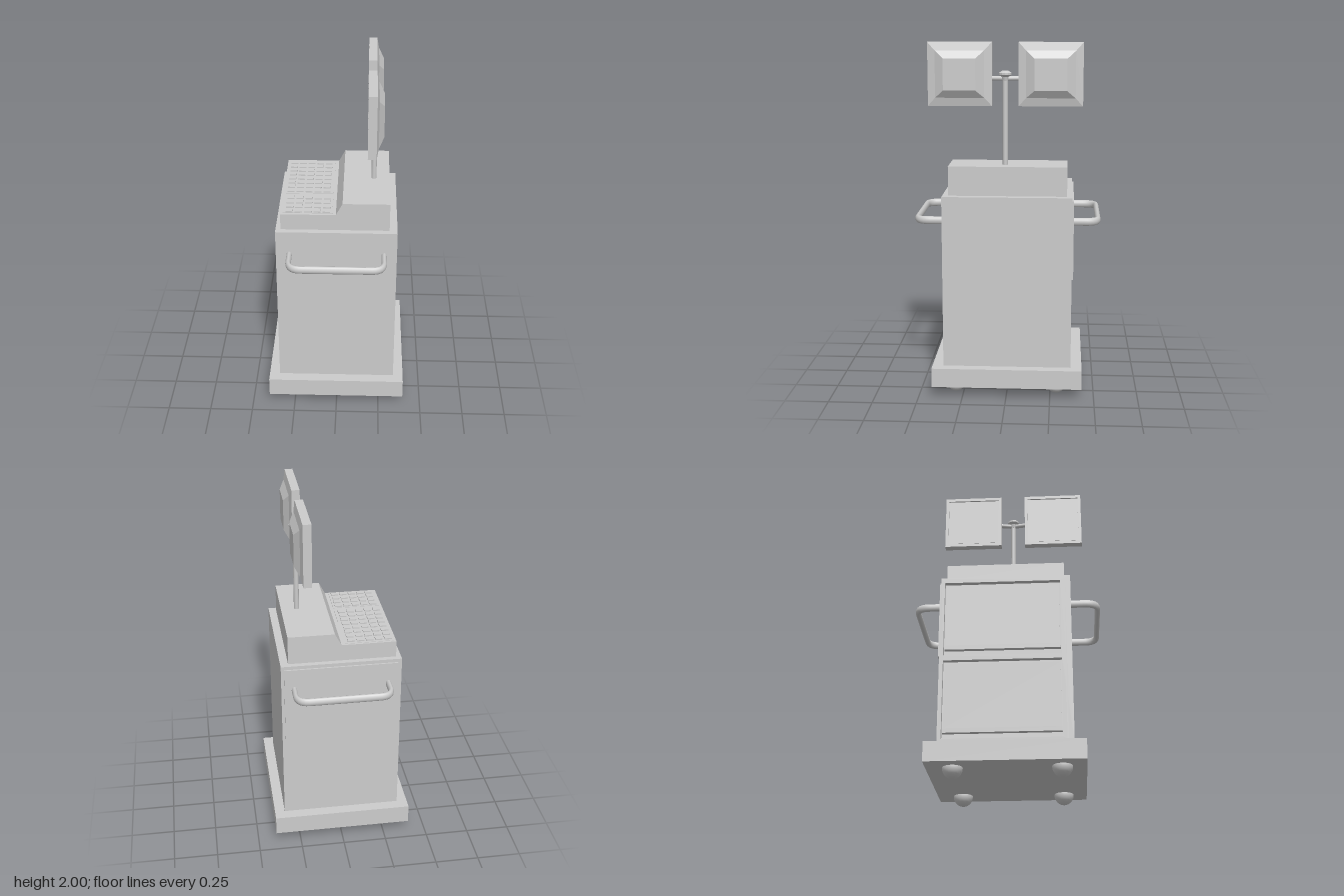
import * as THREE from 'three';

const mat = new THREE.MeshStandardMaterial({ color: 0xcccccc });
const flat = new THREE.MeshStandardMaterial({ color: 0xcccccc, flatShading: true });

function add(parent, name, geometry, x = 0, y = 0, z = 0, material = mat) {
  const mesh = new THREE.Mesh(geometry, material);
  mesh.name = name;
  mesh.position.set(x, y, z);
  parent.add(mesh);
  return mesh;
}

// Box given by its limits on each axis
function box(parent, name, x0, x1, y0, y1, z0, z1) {
  return add(parent, name, new THREE.BoxGeometry(x1 - x0, y1 - y0, z1 - z0),
    (x0 + x1) / 2, (y0 + y1) / 2, (z0 + z1) / 2);
}

function rod(parent, name, a, b, radius, sides = 12) {
  const dir = b.clone().sub(a);
  const mesh = add(parent, name, new THREE.CylinderGeometry(radius, radius, dir.length(), sides));
  mesh.position.copy(a).add(b).multiplyScalar(0.5);
  mesh.quaternion.setFromUnitVectors(new THREE.Vector3(0, 1, 0), dir.normalize());
  return mesh;
}

function rectangle(Type, a0, a1, b0, b1) {
  return new Type([[a0, b0], [a1, b0], [a1, b1], [a0, b1]].map(p => new THREE.Vector2(...p)));
}

// Stacked rectangular sections along x: [x, halfHeight, halfWidth], closed at both ends
function stackedRectangles(sections) {
  const pos = [], idx = [];
  for (const [x, h, w] of sections) pos.push(x, -h, -w, x, h, -w, x, h, w, x, -h, w);
  const last = (sections.length - 1) * 4;
  for (let s = 0; s < last; s += 4) {
    for (let i = 0; i < 4; i++) {
      const j = (i + 1) % 4;
      idx.push(s + i, s + j, s + 4 + j, s + i, s + 4 + j, s + 4 + i);
    }
  }
  idx.push(0, 2, 1, 0, 3, 2, last, last + 1, last + 2, last, last + 2, last + 3);
  // sides wind outward when the triangles are reversed as needed
  const g = new THREE.BufferGeometry();
  g.setAttribute('position', new THREE.Float32BufferAttribute(pos, 3));
  g.setIndex(idx);
  const out = g.toNonIndexed();
  out.computeVertexNormals();
  return out;
}

function buildCabinet(root) {
  const cabinet = new THREE.Group();
  cabinet.name = 'cabinet';
  root.add(cabinet);
  box(cabinet, 'basePlate', -0.4, 0.395, 0.06, 0.17, -0.43, 0.425);
  box(cabinet, 'body', -0.31, 0.337, 0.17, 1.155, -0.367, 0.362);
  box(cabinet, 'rearPanel', -0.318, 0.32, 0.685, 1.135, -0.376, -0.366);

  // Side frame around the two recessed drawers
  const frame = rectangle(THREE.Shape, -0.362, 0.367, 0.17, 1.155);
  frame.holes.push(rectangle(THREE.Path, -0.305, 0.345, 0.68, 1.125));
  frame.holes.push(rectangle(THREE.Path, -0.305, 0.345, 0.2, 0.65));
  const g = new THREE.ExtrudeGeometry(frame, { depth: 0.03, bevelEnabled: false });
  add(cabinet, 'drawerFrame', g, -0.34, 0, 0).rotation.y = Math.PI / 2;
  box(cabinet, 'frameGroove', -0.342, -0.338, 0.19, 1.135, 0.325, 0.333);
  for (const y of [0.2, 0.68]) {
    box(cabinet, 'drawerFront', -0.32, -0.3, y + 0.065, y + 0.435, -0.337, 0.297);
    box(cabinet, 'drawerRail', -0.337, -0.305, y + 0.035, y + 0.06, -0.34, 0.3);
  }

  // Ball casters
  for (const x of [-0.28, 0.28]) {
    for (const z of [-0.285, 0.295]) {
      add(cabinet, 'caster', new THREE.SphereGeometry(0.055, 20, 14), x, 0.055, z);
    }
  }

  // Push handles with an upright oval section
  for (const s of [-1, 1]) {
    const path = new THREE.CurvePath();
    const v = (x, z) => new THREE.Vector3(x, 0, s * z);
    path.add(new THREE.LineCurve3(v(-0.265, 0.35), v(-0.265, 0.45)));
    path.add(new THREE.QuadraticBezierCurve3(v(-0.265, 0.45), v(-0.26, 0.51), v(-0.2, 0.513)));
    path.add(new THREE.LineCurve3(v(-0.2, 0.513), v(0.2, 0.513)));
    path.add(new THREE.QuadraticBezierCurve3(v(0.2, 0.513), v(0.26, 0.51), v(0.265, 0.45)));
    path.add(new THREE.LineCurve3(v(0.265, 0.45), v(0.265, 0.35)));
    const handle = add(cabinet, 'handle', new THREE.TubeGeometry(path, 48, 0.0155, 12), 0, 1.008, 0);
    handle.scale.y = 1.45;
  }
}

function buildConsole(root) {
  const desk = new THREE.Group();
  desk.name = 'console';
  root.add(desk);
  // Stepped housing: low keyboard shelf, slope and raised block
  const profile = new THREE.Shape([
    [-0.312, 1.155], [0.293, 1.155], [0.293, 1.32], [0.032, 1.32], [-0.005, 1.25], [-0.312, 1.25],
  ].map(p => new THREE.Vector2(...p)));
  const g = new THREE.ExtrudeGeometry(profile, { depth: 0.665, bevelEnabled: false });
  add(desk, 'consoleHousing', g, 0, 0, -0.337);

  // Two blocks of keys, each on a thin plate
  const blocks = [
    { z0: -0.325, z1: 0.087, x: -0.27, z: -0.295, rows: 8 },
    { z0: 0.116, z1: 0.311, x: -0.264, z: 0.141, rows: 4 },
  ];
  for (const b of blocks) {
    box(desk, 'keyPlate', -0.298, -0.025, 1.245, 1.252, b.z0, b.z1);
    for (let r = 0; r < b.rows; r++) {
      for (let c = 0; c < 5; c++) {
        add(desk, 'key', new THREE.BoxGeometry(0.04, 0.012, 0.031),
          b.x + c * 0.0515, 1.253, b.z + r * 0.0505);
      }
    }
  }
}

function buildMonitors(root) {
  const stand = new THREE.Group();
  stand.name = 'monitorStand';
  root.add(stand);
  const px = 0.203, pz = 0.012;
  rod(stand, 'pole', new THREE.Vector3(px, 1.31, pz), new THREE.Vector3(px, 1.82, pz), 0.015);
  // Flared joint on top of the pole
  const joint = [[0, 1.79], [0.017, 1.79], [0.022, 1.812], [0.035, 1.822], [0.035, 1.833], [0.018, 1.844], [0, 1.844]];
  add(stand, 'poleJoint', new THREE.LatheGeometry(joint.map(p => new THREE.Vector2(...p)), 12), px, 0, pz, flat);

  for (const s of [-1, 1]) {
    rod(stand, 'monitorArm', new THREE.Vector3(px, 1.802, pz),
      new THREE.Vector3(0.187, 1.802, pz + s * 0.085), 0.013);
    const monitor = new THREE.Group();
    monitor.name = 'monitor';
    monitor.position.set(0, 1.825, pz + s * 0.253);
    stand.add(monitor);
    // Casing tapering to the back
    add(monitor, 'monitorCasing', stackedRectangles([
      [0.175, 0.176, 0.179], [0.211, 0.176, 0.179], [0.222, 0.13, 0.137], [0.25, 0.088, 0.09],
    ]));
    // Raised rim around the screen
    const rim = rectangle(THREE.Shape, -0.179, 0.179, -0.176, 0.176);
    rim.holes.push(rectangle(THREE.Path, -0.16, 0.16, -0.157, 0.157));
    const rimGeo = new THREE.ExtrudeGeometry(rim, { depth: 0.01, bevelEnabled: false });
    add(monitor, 'screenRim', rimGeo, 0.165, 0, 0).rotation.y = Math.PI / 2;
    box(monitor, 'screen', 0.172, 0.178, -0.152, 0.152, -0.155, 0.155);
  }
}

export function createModel() {
  const root = new THREE.Group();
  root.name = 'consoleCart';
  buildCabinet(root);
  buildConsole(root);
  buildMonitors(root);
  return root;
}
